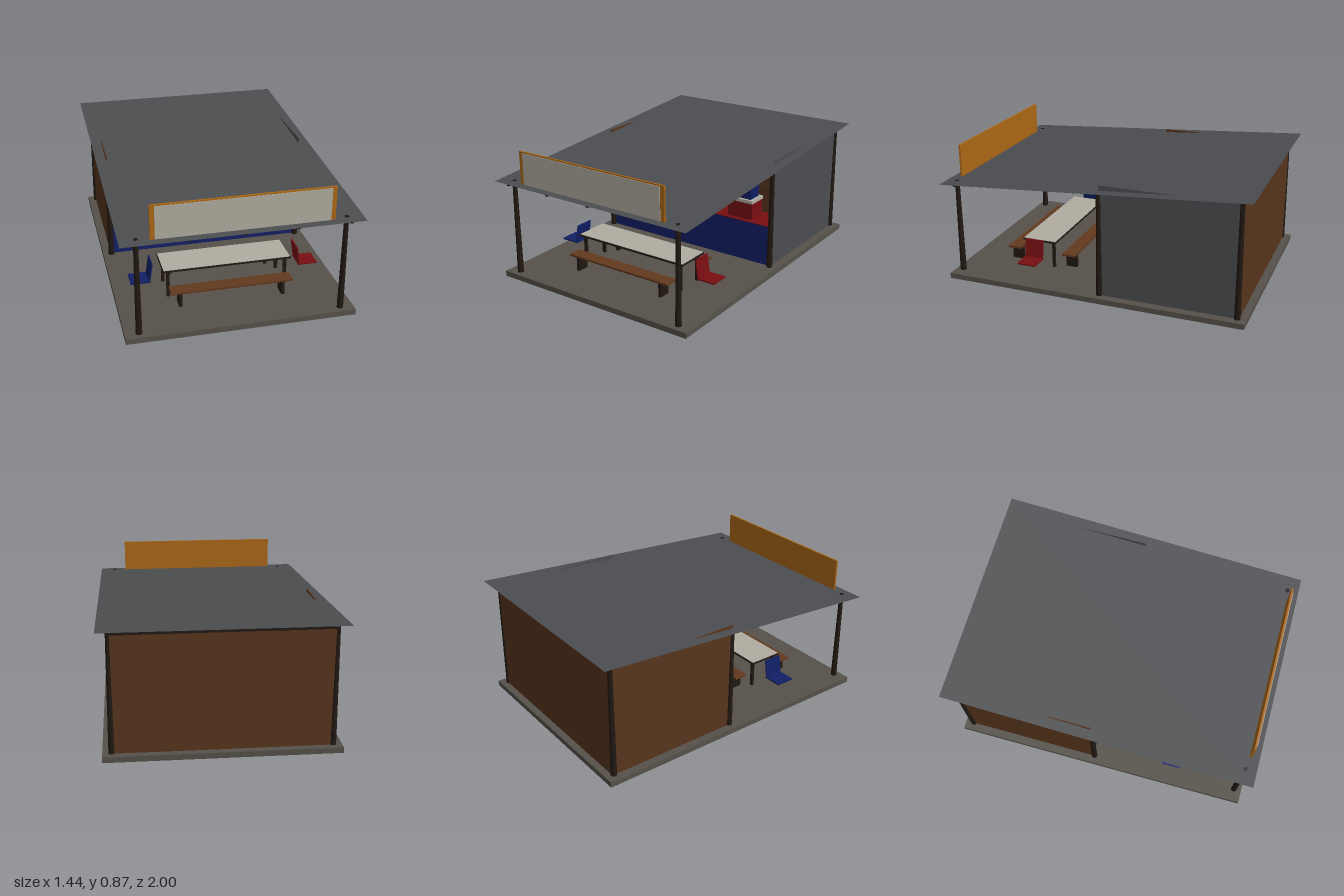
import * as THREE from 'three';

const mat = (color, double) => new THREE.MeshStandardMaterial(double ? { color, side: THREE.DoubleSide } : { color });
const M = {
  floor: mat(0x56514a), dark: mat(0x211812), wall: mat(0x57351d), metal: mat(0x4b4d50, true),
  blue: mat(0x111f66), red: mat(0x780e12), white: mat(0xb0aca0), orange: mat(0xac6816),
  wood: mat(0x633a1e), black: mat(0x0e1412), glass: mat(0x3f646e), steel: mat(0x74797c, true),
};

export function createModel() {
  const root = new THREE.Group();

  // Box given by its min and max corners
  const box = (name, m, x0, x1, y0, y1, z0, z1, parent = root) => {
    const mesh = new THREE.Mesh(new THREE.BoxGeometry(x1 - x0, y1 - y0, z1 - z0), m);
    mesh.position.set((x0 + x1) / 2, (y0 + y1) / 2, (z0 + z1) / 2);
    mesh.name = name;
    parent.add(mesh);
    return mesh;
  };
  const group = (name) => {
    const g = new THREE.Group();
    g.name = name;
    root.add(g);
    return g;
  };
  // Height of the sloping roof at depth z
  const roofY = (z) => 0.72 - 0.07 * z;
  const slope = Math.atan(0.07);

  // Floor platform, hollow underneath
  const floor = group('floorPlatform');
  box('floorTop', M.floor, -0.705, 0.705, 0.032, 0.035, -0.98, 0.977, floor);
  for (const s of [-1, 1]) {
    box('sideRim', M.floor, s * 0.7035 - 0.0015, s * 0.7035 + 0.0015, 0, 0.032, -0.98, 0.977, floor);
    box('endRim', M.floor, -0.702, 0.702, 0, 0.032, s * 0.977 - 0.003, s * 0.977, floor);
  }

  // Sloping sheet roof
  const roof = new THREE.Mesh(new THREE.PlaneGeometry(1.44, 2 / Math.cos(slope)), M.metal);
  roof.rotation.x = -Math.PI / 2 + slope;
  roof.position.y = roofY(0);
  roof.name = 'roofSheet';
  root.add(roof);

  // Rafters down the slope and purlins across it
  const frame = group('roofFrame');
  for (const x of [-0.64, -0.32, 0, 0.32, 0.64]) {
    const r = box('rafter', M.dark, x - 0.01, x + 0.01, -0.01, 0.01, -0.965, 0.97, frame);
    r.rotation.x = slope;
    r.position.y = roofY(0) - 0.017;
  }
  for (const [z, h] of [[0.93, 0.026], [0.31, 0.017], [-0.05, 0.026], [-0.335, 0.017], [-0.93, 0.026]]) {
    const y = roofY(z) - 0.004;
    box('purlin', M.dark, -0.66, 0.66, y - h, y, z - 0.01, z + 0.01, frame);
  }

  // Round posts
  for (const [x, z, top] of [[0.62, 0.928, 0.657], [0.65, -0.05, 0.712], [0.65, -0.925, 0.778]]) {
    for (const s of [-1, 1]) {
      const post = new THREE.Mesh(new THREE.CylinderGeometry(0.014, 0.02, top, 10), M.dark);
      post.position.set(s * x, top / 2, z);
      post.name = 'post';
      root.add(post);
    }
  }

  // Walls of the rear room
  box('backWall', M.wall, -0.65, 0.65, 0.035, 0.765, -0.935, -0.925);
  box('rightWall', M.wall, -0.654, -0.646, 0.035, 0.743, -0.93, -0.05);
  const leftWall = new THREE.Mesh(new THREE.PlaneGeometry(0.88, 0.722), M.metal);
  leftWall.rotation.y = Math.PI / 2;
  leftWall.position.set(0.651, 0.396, -0.49);
  leftWall.name = 'leftWall';
  root.add(leftWall);
  box('wallBoard', M.black, -0.43, -0.105, 0.4, 0.64, -0.925, -0.915);
  box('rearPanel', M.wall, 0.04, 0.3, 0, 0.29, -0.763, -0.755);

  // Sign board over the front edge
  const sign = group('signBoard');
  box('signBacking', M.orange, -0.543, 0.543, 0.645, 0.865, 0.937, 0.949, sign);
  box('signPanel', M.white, -0.515, 0.515, 0.655, 0.857, 0.947, 0.953, sign);

  // Serving counter
  const counter = group('counter');
  box('counterFront', M.blue, -0.635, 0.635, 0.035, 0.303, -0.27, -0.06, counter);
  box('counterTop', M.red, -0.635, 0.635, 0.303, 0.307, -0.27, -0.06, counter);

  // Glass display case with white frame
  const display = group('displayCase');
  box('glass', M.glass, -0.402, -0.042, 0.315, 0.465, -0.23, -0.1, display);
  box('caseBase', M.white, -0.41, -0.035, 0.312, 0.324, -0.24, -0.09, display);
  box('caseTop', M.white, -0.41, -0.035, 0.462, 0.471, -0.24, -0.09, display);
  for (const x of [-0.405, -0.044])
    for (const z of [-0.235, -0.1]) box('casePost', M.white, x, x + 0.005, 0.307, 0.465, z, z + 0.005, display);

  // Open metal pot with a dark rim
  const pot = group('pot');
  const potBody = new THREE.Mesh(new THREE.LatheGeometry(
    [[0, 0], [0.066, 0], [0.073, 0.1], [0.069, 0.1], [0.062, 0.006], [0, 0.006]]
      .map(([x, y]) => new THREE.Vector2(x, y)), 24), M.steel);
  const potRim = new THREE.Mesh(new THREE.TorusGeometry(0.072, 0.005, 8, 24), M.black);
  potBody.name = 'potBody';
  potRim.name = 'potRim';
  potRim.rotation.x = Math.PI / 2;
  potRim.position.y = 0.102;
  pot.add(potBody, potRim);
  pot.position.set(0.13, 0.311, -0.16);

  // Two stacked coolers
  const coolers = group('coolers');
  box('redCooler', M.red, 0.303, 0.485, 0.307, 0.42, -0.22, -0.09, coolers);
  box('redCoolerLid', M.white, 0.3, 0.488, 0.42, 0.441, -0.225, -0.085, coolers);
  box('blueCooler', M.blue, 0.324, 0.465, 0.441, 0.525, -0.205, -0.105, coolers);
  box('blueCoolerLid', M.white, 0.321, 0.468, 0.525, 0.538, -0.21, -0.1, coolers);

  // Table
  const table = group('table');
  box('tableEdge', M.dark, -0.41, 0.41, 0.214, 0.225, 0.355, 0.588, table);
  box('tableTop', M.white, -0.406, 0.406, 0.225, 0.228, 0.359, 0.584, table);
  for (const x of [-0.377, 0.377])
    for (const z of [0.383, 0.565]) box('tableLeg', M.dark, x - 0.01, x + 0.01, 0, 0.214, z - 0.008, z + 0.008, table);

  // Benches
  for (const z of [0.277, 0.669]) {
    const bench = group('bench');
    box('benchSeat', M.wood, -0.385, 0.385, 0.127, 0.14, z - 0.045, z + 0.045, bench);
    for (const x of [-0.325, 0.325]) box('benchLeg', M.dark, x - 0.01, x + 0.01, 0, 0.127, z - 0.039, z + 0.039, bench);
  }

  // Chair shells at both table ends, backs toward the table
  for (const [s, m, name] of [[1, M.red, 'redChair'], [-1, M.blue, 'blueChair']]) {
    const chair = group(name);
    box('chairSeat', m, s * 0.543 - 0.062, s * 0.543 + 0.062, 0.127, 0.136, 0.412, 0.537, chair);
    const back = box('chairBack', m, s * 0.478 - 0.004, s * 0.478 + 0.004, 0.13, 0.255, 0.412, 0.537, chair);
    back.rotation.z = s * 0.15;
  }
  return root;
}
